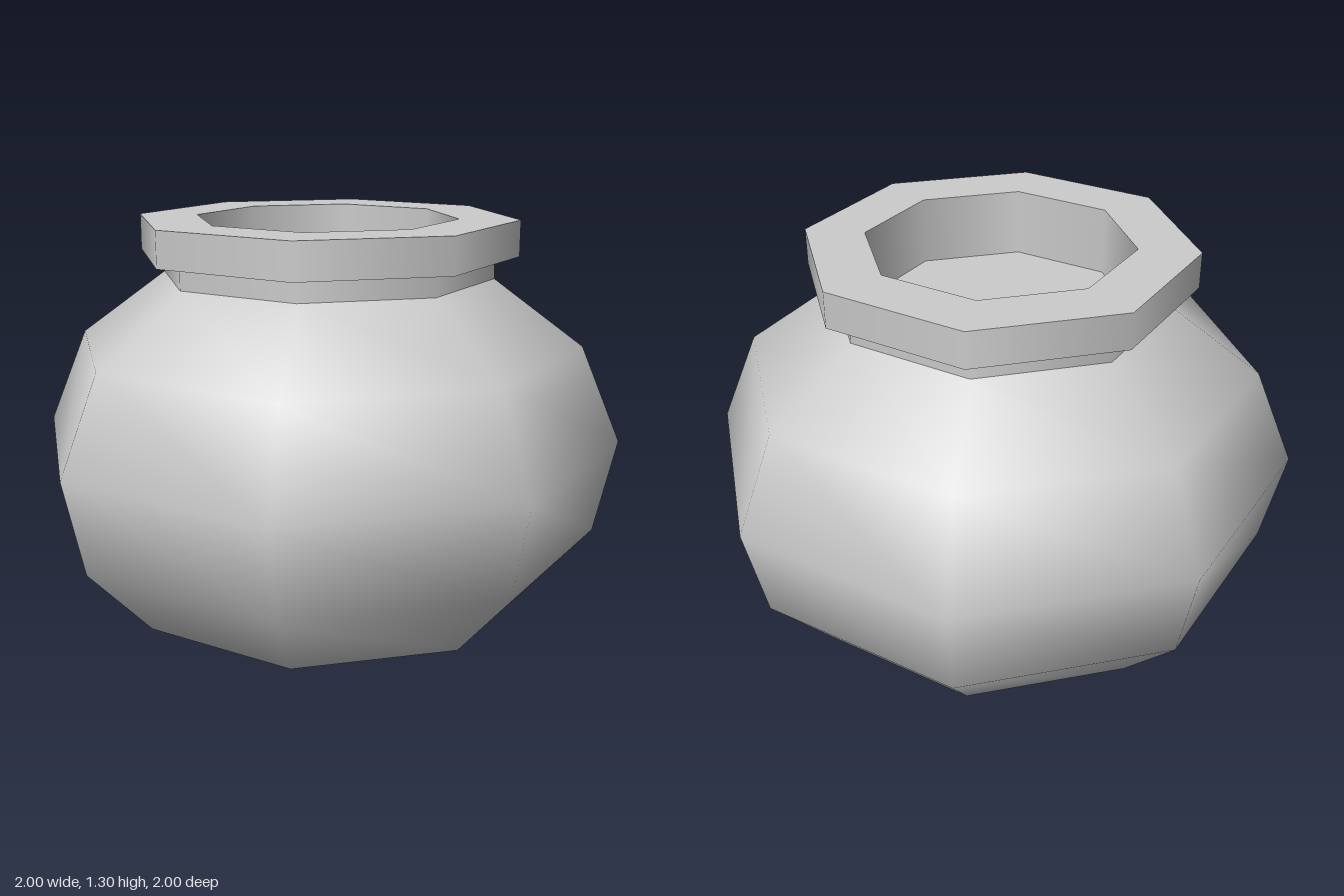
import * as THREE from 'three';

const SIDES = 8;
const material = new THREE.MeshStandardMaterial({ color: 0xcccccc });

// One smooth surface of revolution; separate bands keep sharp edges between them
function band(name, profile) {
  const points = profile.map(([r, y]) => new THREE.Vector2(r, y));
  const mesh = new THREE.Mesh(new THREE.LatheGeometry(points, SIDES), material);
  mesh.name = name;
  return mesh;
}

export function createModel() {
  const pot = new THREE.Group();
  pot.name = 'pot';

  // Bands follow the outline from the base, up the outside and down into the mouth
  pot.add(
    band('base', [[0, 0], [0.707, 0]]),
    band('body', [[0.707, 0], [0.93, 0.245], [1, 0.567], [0.864, 0.89], [0.565, 1.11]]),
    band('neck', [[0.565, 1.11], [0.565, 1.185]]),
  );

  // Overhanging rim
  const rim = new THREE.Group();
  rim.name = 'rim';
  rim.add(
    band('rimUnderside', [[0.565, 1.185], [0.645, 1.185]]),
    band('rimSide', [[0.645, 1.185], [0.645, 1.305]]),
    band('rimTop', [[0.645, 1.305], [0.444, 1.305]]),
  );
  pot.add(rim);

  // Shallow recess in the mouth
  pot.add(
    band('mouthWall', [[0.444, 1.305], [0.444, 1.076]]),
    band('mouthFloor', [[0.444, 1.076], [0, 1.076]]),
  );
  return pot;
}
